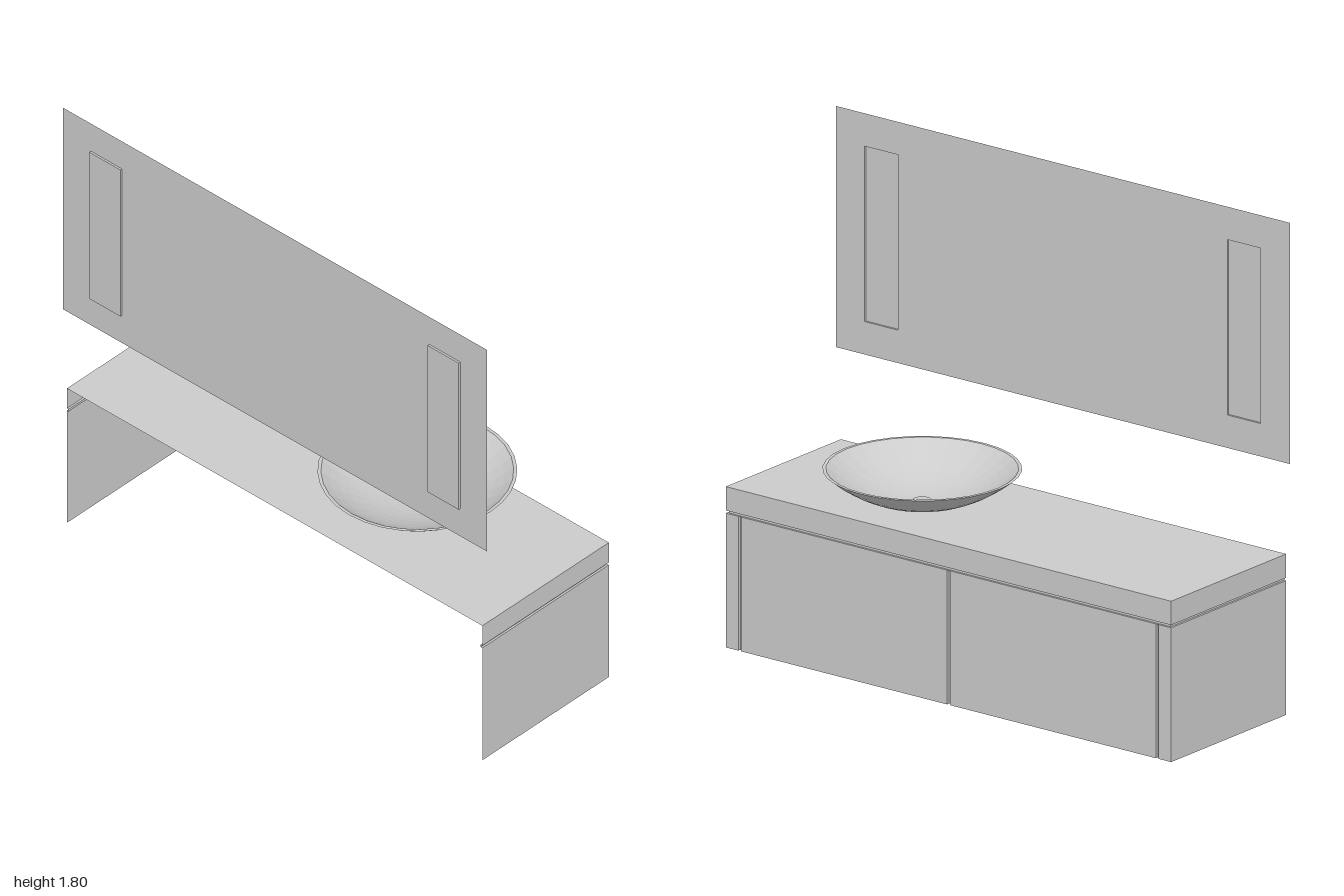
import * as THREE from 'three';

const BACK = -0.355, FRONT = 0.285, END = 0.98;
const GAP_TOP = 0.5, GAP_LOW = 0.49, TOP = 0.587;

const material = new THREE.MeshStandardMaterial({
  color: 0xcccccc, flatShading: true, side: THREE.DoubleSide,
});

function add(parent, name, geometry) {
  const mesh = new THREE.Mesh(geometry, material);
  mesh.name = name;
  parent.add(mesh);
  return mesh;
}

// Surface between rows of [x, y, z] points, listed from top to bottom
function loft(rows) {
  const n = rows[0].length, index = [];
  for (let r = 0; r < rows.length - 1; r++) {
    for (let i = 0; i < n - 1; i++) {
      const a = r * n + i, b = a + n;
      index.push(a, b, a + 1, b, b + 1, a + 1);
    }
  }
  const g = new THREE.BufferGeometry();
  g.setAttribute('position', new THREE.Float32BufferAttribute(rows.flat(2), 3));
  g.setIndex(index);
  g.computeVertexNormals();
  return g;
}

// Vertical sheet following a plan line of [x, z] points
function wall(plan, low, high) {
  return loft([high, low].map((y) => plan.map(([x, z]) => [x, y, z])));
}

// Plan line round the two ends and the front, moved inwards by inset
function uRow(inset, y) {
  const f = FRONT - inset, e = END - inset;
  return [[BACK, y, e], [f, y, e], [f, y, -e], [BACK, y, -e]];
}

function buildCabinet() {
  const cabinet = new THREE.Group();
  cabinet.name = 'cabinet';

  // Worktop with open back, and the shadow gap below it
  const top = new THREE.PlaneGeometry(FRONT - BACK, 2 * END);
  top.rotateX(-Math.PI / 2).translate((FRONT + BACK) / 2, TOP, 0);
  add(cabinet, 'worktop', top);
  add(cabinet, 'worktopApron', loft([uRow(0, TOP), uRow(0, GAP_TOP)]));
  add(cabinet, 'shadowGap', loft([
    uRow(0, GAP_TOP), uRow(0.008, GAP_TOP), uRow(0.008, GAP_LOW), uRow(0, GAP_LOW),
  ]));

  // End panels with narrow front posts
  const post = 0.925, seam = 0.913, groove = FRONT - 0.012;
  add(cabinet, 'leftEndPanel', wall([[BACK, END], [FRONT, END], [FRONT, post]], 0, GAP_LOW));
  add(cabinet, 'rightEndPanel', wall([[FRONT, -post], [FRONT, -END], [BACK, -END]], 0, GAP_LOW));

  // Two doors and the grooves around them
  const half = 0.006;
  add(cabinet, 'leftDoor', wall([[FRONT, seam], [FRONT, half]], 0, GAP_LOW));
  add(cabinet, 'rightDoor', wall([[FRONT, -half], [FRONT, -seam]], 0, GAP_LOW));
  for (const [a, b] of [[post, seam], [half, -half], [-seam, -post]]) {
    add(cabinet, 'doorGroove', wall([[FRONT, a], [groove, a], [groove, b], [FRONT, b]], 0, GAP_LOW));
  }
  return cabinet;
}

function buildBasin() {
  const basin = new THREE.Group();
  basin.name = 'basin';
  const R = 0.523, rim = 0.345, height = 0.13, rings = 9;
  const cap = (r) => R - Math.sqrt(R * R - r * r);

  // Outer shell, rim and inner bowl in one profile
  const profile = [];
  for (let i = 0; i <= rings; i++) {
    const r = (rim * i) / rings;
    profile.push(new THREE.Vector2(r, cap(r)));
  }
  const inner = rim - 0.012, drain = 0.04;
  for (let i = rings; i >= 0; i--) {
    const r = drain + ((inner - drain) * i) / rings;
    profile.push(new THREE.Vector2(r, 0.01 + (cap(r) / cap(inner)) * (height - 0.01)));
  }
  profile.push(new THREE.Vector2(0, 0.011));
  add(basin, 'bowl', new THREE.LatheGeometry(profile, 32));

  // Drain cap
  const plug = new THREE.CylinderGeometry(0.032, 0.036, 0.006, 24);
  add(basin, 'drain', plug.translate(0, 0.014, 0));
  basin.position.set(0.01, TOP, 0.333);
  return basin;
}

function rectangle(path, z0, z1, y0, y1) {
  path.moveTo(-z0, y0);
  path.lineTo(-z1, y0);
  path.lineTo(-z1, y1);
  path.lineTo(-z0, y1);
  path.closePath();
  return path;
}

function buildMirror() {
  const mirror = new THREE.Group();
  mirror.name = 'mirror';
  const face = -0.352, depth = 0.008, low = 1.04, high = 1.68;
  const sheet = rectangle(new THREE.Shape(), 1, -1, 0.92, 1.8);

  for (const [z0, z1] of [[0.873, 0.727], [-0.723, -0.869]]) {
    sheet.holes.push(rectangle(new THREE.Path(), z0, z1, low, high));

    // Recessed light strip: four side walls and a back
    const ring = (x) => [[x, low, z0], [x, low, z1], [x, high, z1], [x, high, z0], [x, low, z0]];
    add(mirror, 'lightRecess', loft([ring(face), ring(face - depth)]));
    const strip = new THREE.PlaneGeometry(z0 - z1, high - low);
    strip.rotateY(Math.PI / 2).translate(face - depth, (low + high) / 2, (z0 + z1) / 2);
    add(mirror, 'lightStrip', strip);
  }
  const glass = new THREE.ShapeGeometry(sheet);
  add(mirror, 'mirrorGlass', glass.rotateY(Math.PI / 2).translate(face, 0, 0));
  return mirror;
}

export function createModel() {
  const model = new THREE.Group();
  model.name = 'washstand';
  model.add(buildCabinet(), buildBasin(), buildMirror());
  return model;
}
